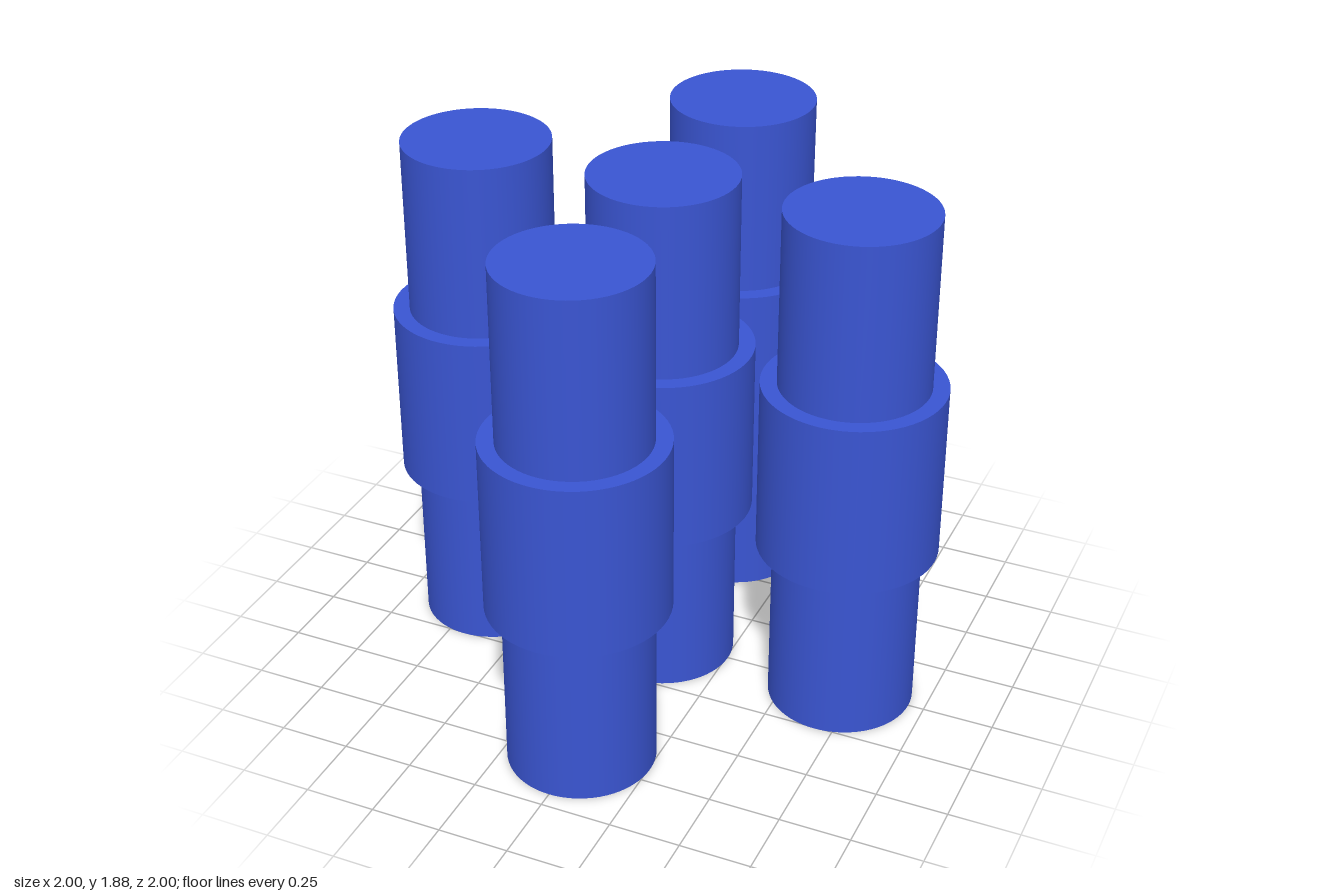
import * as THREE from 'three';

const SIDES = 64;
const SECTION = 0.625;      // height of each of the three stacked sections
const ROD_RADIUS = 0.256;
const COLLAR_RADIUS = 0.3125;
const SPACING = 0.6875;     // distance between neighbouring columns

export function createModel() {
  const model = new THREE.Group();
  model.name = 'columnCluster';

  const material = new THREE.MeshStandardMaterial({ color: 0x3a55d2 });
  const rodGeometry = new THREE.CylinderGeometry(ROD_RADIUS, ROD_RADIUS, SECTION, SIDES);
  const collarGeometry = new THREE.CylinderGeometry(COLLAR_RADIUS, COLLAR_RADIUS, SECTION, SIDES);

  // One column: lower rod, wider collar, upper rod
  function createColumn(name, x, z) {
    const column = new THREE.Group();
    column.name = name;
    const sections = [['lowerRod', rodGeometry], ['collar', collarGeometry], ['upperRod', rodGeometry]];
    sections.forEach(([part, geometry], i) => {
      const mesh = new THREE.Mesh(geometry, material);
      mesh.name = part;
      mesh.position.y = (i + 0.5) * SECTION;
      column.add(mesh);
    });
    column.position.set(x * SPACING, 0, z * SPACING);
    return column;
  }

  // Five columns arranged in a plus shape
  const layout = [
    ['centreColumn', 0, 0],
    ['leftColumn', 1, 0],
    ['rightColumn', -1, 0],
    ['frontColumn', 0, 1],
    ['backColumn', 0, -1],
  ];
  for (const [name, x, z] of layout) model.add(createColumn(name, x, z));

  return model;
}
